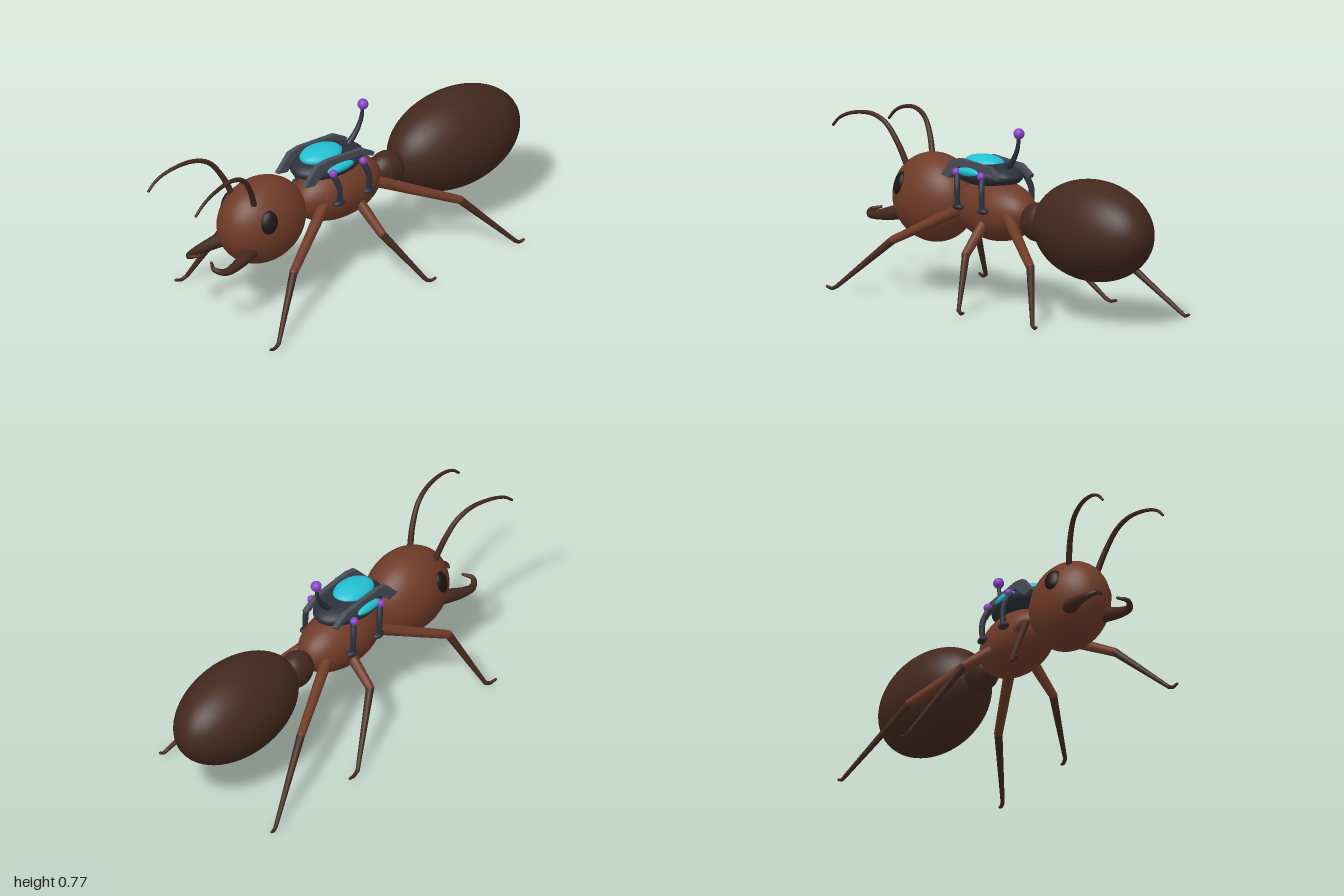
import * as THREE from 'three';

const mat = (color, side) => new THREE.MeshStandardMaterial({ color, ...(side ? { side } : {}) });
const BROWN = mat(0x6f3b28), DARK = mat(0x43281d), EYE = mat(0x1c1512);
const SLATE = mat(0x2c303b), STEEL = mat(0x484c57), CYAN = mat(0x22c0d2), PURPLE = mat(0x8842c4);
const V = (p) => new THREE.Vector3(...p);

function add(parent, name, geometry, material) {
  const mesh = new THREE.Mesh(geometry, material);
  mesh.name = name;
  parent.add(mesh);
  return mesh;
}

function ellipsoid(parent, name, center, radii, material, seg = 40) {
  const mesh = add(parent, name, new THREE.SphereGeometry(1, seg, seg * 0.6), material);
  mesh.position.set(...center);
  mesh.scale.set(...radii);
  return mesh;
}

// Smooth tube whose radius follows r(t), closed by small spheres at both ends
function taperedTube(parent, name, points, r, material, steps = 32) {
  const curve = new THREE.CatmullRomCurve3(points.map(V), false, 'centripetal');
  const sides = 12;
  const geo = new THREE.TubeGeometry(curve, steps, 1, sides);
  const pos = geo.attributes.position, v = new THREE.Vector3();
  for (let i = 0; i <= steps; i++) {
    const c = curve.getPointAt(i / steps);
    for (let j = 0; j <= sides; j++) {
      const k = i * (sides + 1) + j;
      v.fromBufferAttribute(pos, k).sub(c).multiplyScalar(r(i / steps)).add(c);
      pos.setXYZ(k, v.x, v.y, v.z);
    }
  }
  const group = new THREE.Group();
  group.name = name;
  add(group, name + 'Body', geo, material);
  for (const [p, t] of [[points[0], 0], [points[points.length - 1], 1]]) {
    ellipsoid(group, name + 'End', p, [r(t), r(t), r(t)], material, 12);
  }
  parent.add(group);
  return group;
}

const taper = (a, b) => (t) => a + (b - a) * t;

// Thigh, shin and hooked foot
function leg(parent, name, hip, knee, ankle, toe) {
  const g = new THREE.Group();
  g.name = name;
  taperedTube(g, 'thigh', [hip, knee], taper(0.026, 0.019), BROWN, 4);
  taperedTube(g, 'shin', [knee, ankle], taper(0.018, 0.009), DARK, 6);
  const mid = [(ankle[0] + toe[0]) / 2, 0.011, (ankle[2] + toe[2]) / 2];
  taperedTube(g, 'foot', [ankle, mid, toe], taper(0.009, 0.006), DARK, 10);
  parent.add(g);
}

export function createModel() {
  const ant = new THREE.Group();
  ant.name = 'ant';

  // Body segments, head towards -x
  ellipsoid(ant, 'head', [-0.473, 0.408, 0], [0.218, 0.195, 0.16], BROWN);
  ellipsoid(ant, 'thorax', [-0.035, 0.405, 0], [0.235, 0.135, 0.13], BROWN);
  ellipsoid(ant, 'waist', [0.255, 0.385, 0], [0.09, 0.085, 0.07], DARK);
  ellipsoid(ant, 'abdomen', [0.648, 0.397, 0], [0.347, 0.221, 0.196], DARK, 56);

  for (const s of [1, -1]) {
    const eye = ellipsoid(ant, 'eye', [-0.55, 0.47, s * 0.133], [0.04, 0.052, 0.022], EYE, 24);
    eye.rotation.set(-s * 0.3, -s * 0.4, -0.3);

    taperedTube(ant, 'antenna', [
      [-0.575, 0.53, s * 0.068], [-0.62, 0.635, s * 0.09], [-0.68, 0.715, s * 0.108],
      [-0.76, 0.747, s * 0.122], [-0.87, 0.74, s * 0.14], [-0.95, 0.71, s * 0.15], [-0.993, 0.673, s * 0.152],
    ], taper(0.014, 0.006), DARK, 48);

    taperedTube(ant, 'mandible', [
      [-0.6, 0.335, s * 0.08], [-0.72, 0.31, s * 0.11], [-0.785, 0.304, s * 0.11],
      [-0.82, 0.317, s * 0.08], [-0.8, 0.328, s * 0.04],
    ], (t) => 0.036 - 0.03 * t, DARK);

    // Legs: the two sides are in different phases of the stride
    const d = s > 0 ? 0 : 0.12, ky = s > 0 ? 0.228 : 0.262, kz = s * (s > 0 ? 0.22 : 0.23);
    leg(ant, 'frontLeg', [-0.18, 0.4, s * 0.08], [-0.485, ky + 0.01, kz],
      [-0.7 + d, 0.022, s * 0.36], [-0.755 + d, 0.017, s * 0.37]);
    leg(ant, 'middleLeg', [0, 0.38, s * 0.08], [0.03, ky + 0.01, kz],
      [0.16 + d * 0.85, 0.022, s * 0.36], [0.205 + d, 0.017, s * 0.37]);
    leg(ant, 'hindLeg', [0.13, 0.4, s * 0.07], [0.485, ky + 0.01, kz],
      [0.68 + d, 0.022, s * 0.36], [0.72 + d, 0.017, s * 0.37]);
  }

  // Backpack pod with canopy and whip aerial
  const pack = new THREE.Group();
  pack.name = 'backpack';
  ant.add(pack);
  ellipsoid(pack, 'podShell', [-0.09, 0.555, 0], [0.188, 0.055, 0.118], SLATE);
  ellipsoid(pack, 'canopy', [-0.125, 0.6, 0], [0.106, 0.036, 0.074], CYAN);
  taperedTube(pack, 'aerial', [[0.03, 0.585, 0], [0.08, 0.635, 0], [0.11, 0.69, 0], [0.12, 0.755, 0]],
    taper(0.015, 0.007), SLATE);
  ellipsoid(pack, 'aerialTip', [0.12, 0.754, 0], [0.024, 0.024, 0.024], PURPLE, 24);

  // Bent side rail profile
  const rail = new THREE.Shape([
    [-0.305, 0.535], [-0.235, 0.61], [-0.18, 0.62], [0.03, 0.605], [0.1, 0.565],
    [0.09, 0.55], [0.02, 0.58], [-0.18, 0.585], [-0.25, 0.525],
  ].map((p) => new THREE.Vector2(...p)));
  const railGeo = new THREE.ExtrudeGeometry(rail, { depth: 0.022, bevelEnabled: false });

  for (const s of [1, -1]) {
    add(pack, 'sideRail', railGeo, STEEL).position.z = s * 0.087 - 0.011;
    const win = ellipsoid(pack, 'sideWindow', [-0.105, 0.568, s * 0.103], [0.075, 0.02, 0.022], CYAN, 28);
    win.rotation.x = -s * 0.3;
    // Clamps gripping the thorax
    for (const [x, footX] of [[-0.165, -0.138], [0.01, 0.035]]) {
      taperedTube(pack, 'clampArm', [[x, 0.56, s * 0.115], [footX - 0.005, 0.5, s * 0.135], [footX, 0.42, s * 0.135]],
        taper(0.014, 0.012), SLATE, 16);
      ellipsoid(pack, 'clampJoint', [x, 0.565, s * 0.122], [0.018, 0.018, 0.018], PURPLE, 20);
      ellipsoid(pack, 'clampPad', [footX, 0.417, s * 0.132], [0.032, 0.014, 0.02], SLATE, 20);
    }
  }
  return ant;
}
